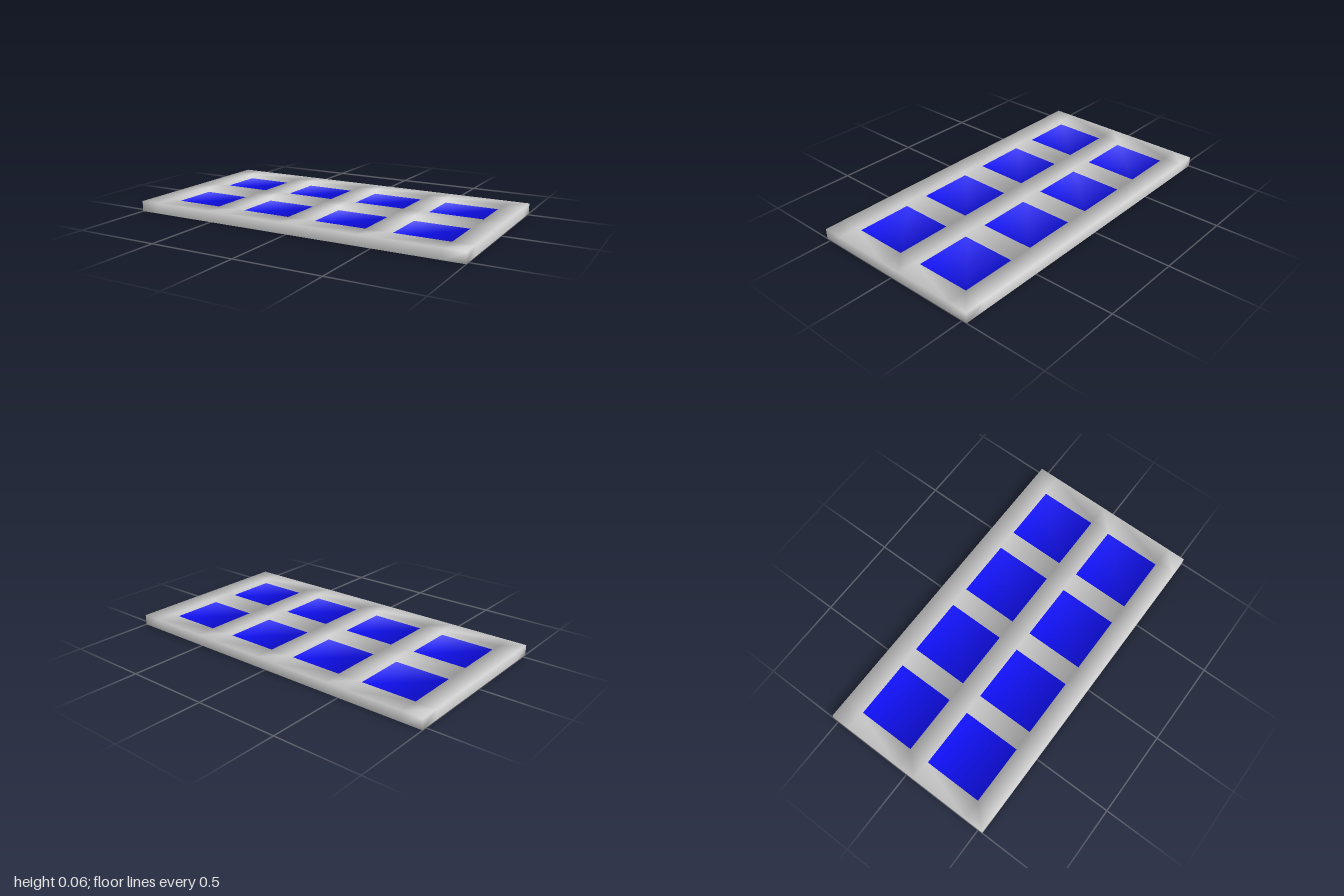
import * as THREE from 'three';

const U = 2 / 17;            // width of a frame bar; each pane is 3 bars wide
const TOP = 0.061;           // height of the frame
const FLOOR = 0.034;         // height of the sunken panes

// Grid lines for alternating bars (1 unit) and panes (3 units), centred on 0
function gridLines(panes) {
  const lines = [0];
  for (let i = 0; i < panes * 2 + 1; i++) lines.push(lines[i] + (i % 2 ? 3 : 1) * U);
  const half = lines[lines.length - 1] / 2;
  return lines.map((v) => v - half);
}

// A quad with counter-clockwise corners and its face normal
function quad(...corners) {
  const [a, b, c, d] = corners.map((p) => new THREE.Vector3(...p));
  const normal = b.clone().sub(a).cross(c.clone().sub(a)).normalize();
  return { corners: [a, b, c, d], normal };
}

const key = (p) => p.toArray().map((v) => v.toFixed(4)).join();

// Average the distinct face directions that meet at each corner
function cornerNormals(quads) {
  const map = new Map();
  for (const { corners, normal } of quads) {
    for (const p of corners) {
      const k = key(p);
      if (!map.has(k)) map.set(k, []);
      const list = map.get(k);
      if (!list.some((n) => n.dot(normal) > 0.99)) list.push(normal);
    }
  }
  const result = new Map();
  for (const [k, list] of map) {
    const sum = new THREE.Vector3();
    list.forEach((n) => sum.add(n));
    result.set(k, sum.normalize());
  }
  return result;
}

function quadsMesh(name, quads, normals, material) {
  const positions = [], norms = [], index = [];
  quads.forEach(({ corners }, q) => {
    for (const p of corners) {
      positions.push(p.x, p.y, p.z);
      norms.push(...normals.get(key(p)).toArray());
    }
    index.push(...[0, 1, 2, 0, 2, 3].map((i) => i + q * 4));
  });
  const geometry = new THREE.BufferGeometry();
  geometry.setAttribute('position', new THREE.Float32BufferAttribute(positions, 3));
  geometry.setAttribute('normal', new THREE.Float32BufferAttribute(norms, 3));
  geometry.setIndex(index);
  const mesh = new THREE.Mesh(geometry, material);
  mesh.name = name;
  return mesh;
}

export function createModel() {
  const group = new THREE.Group();
  group.name = 'panel';
  const grey = new THREE.MeshStandardMaterial({ color: 0xcccccc });
  const blue = new THREE.MeshStandardMaterial({ color: 0x1010ff });

  const xs = gridLines(4), zs = gridLines(2);
  const frame = [], panes = [];
  const level = (x0, x1, z0, z1, y) => quad([x0, y, z1], [x1, y, z1], [x1, y, z0], [x0, y, z0]);
  // Upright wall between two ground points, facing right of the direction of travel
  const wall = (x0, z0, x1, z1, low) => quad([x0, low, z0], [x1, low, z1], [x1, TOP, z1], [x0, TOP, z0]);

  // Frame bars on top, sunken panes with their inner walls
  for (let i = 0; i < xs.length - 1; i++) {
    for (let j = 0; j < zs.length - 1; j++) {
      const [x0, x1, z0, z1] = [xs[i], xs[i + 1], zs[j], zs[j + 1]];
      if (i % 2 && j % 2) {
        panes.push(level(x0, x1, z0, z1, FLOOR));
        frame.push(
          wall(x0, z0, x1, z0, FLOOR), wall(x1, z0, x1, z1, FLOOR),
          wall(x1, z1, x0, z1, FLOOR), wall(x0, z1, x0, z0, FLOOR));
      } else {
        frame.push(level(x0, x1, z0, z1, TOP));
      }
    }
  }

  // Outer sides, split along the grid lines
  const X = xs[xs.length - 1], Z = zs[zs.length - 1];
  for (let i = 0; i < xs.length - 1; i++) {
    frame.push(wall(xs[i], Z, xs[i + 1], Z, 0), wall(xs[i + 1], -Z, xs[i], -Z, 0));
  }
  for (let j = 0; j < zs.length - 1; j++) {
    frame.push(wall(X, zs[j + 1], X, zs[j], 0), wall(-X, zs[j], -X, zs[j + 1], 0));
  }

  // Plain underside
  frame.push(quad([-X, 0, -Z], [X, 0, -Z], [X, 0, Z], [-X, 0, Z]));

  const normals = cornerNormals([...frame, ...panes]);
  group.add(quadsMesh('frame', frame, normals, grey));
  panes.forEach((p, i) => group.add(quadsMesh(`pane${i + 1}`, [p], normals, blue)));
  return group;
}
